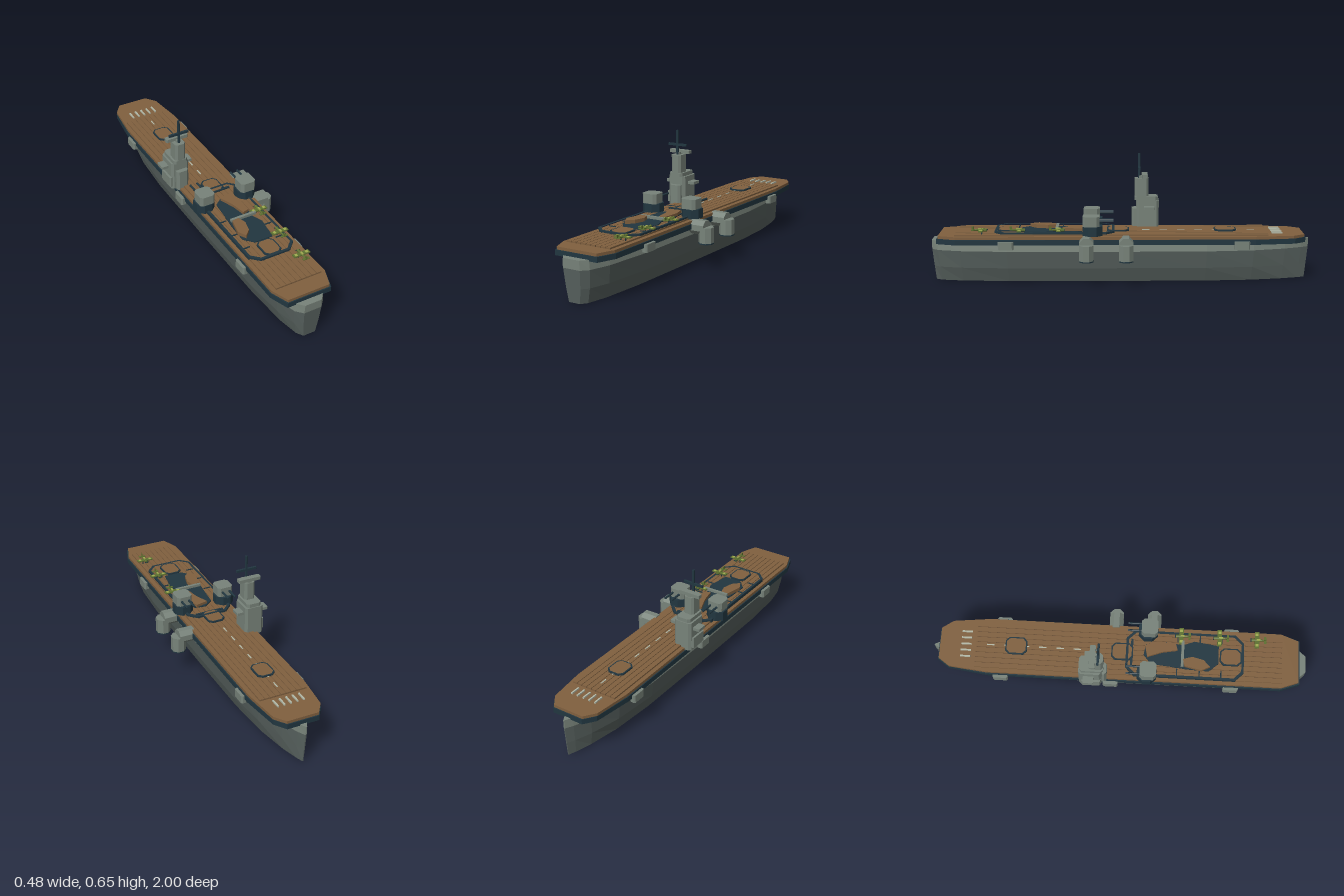
import * as THREE from 'three';

const CX = -0.02; // ship centreline
const mat = (name, color) => Object.assign(new THREE.MeshStandardMaterial({ color }), { name });

export function createModel() {
  const ship = new THREE.Group();
  ship.name = 'aircraftCarrier';
  const M = {
    gray: mat('lightGray', 0x78837a), hull: mat('hullGray', 0x58625f), navy: mat('darkNavy', 0x213640),
    wood: mat('deckWood', 0x80603f), plank: mat('plankSeam', 0x5c442e), mark: mat('paleMarking', 0xb4baa8),
    olive: mat('olive', 0x5d7030), lime: mat('paleOlive', 0xa0ac50),
  };

  // ---- helpers ----
  const add = (name, geo, m, x = 0, y = 0, z = 0, parent = ship) => {
    const g = geo.index ? geo.toNonIndexed() : geo;
    g.computeVertexNormals(); // faceted look
    const mesh = new THREE.Mesh(g, m);
    mesh.name = name;
    mesh.position.set(x, y, z);
    parent.add(mesh);
    return mesh;
  };
  // box from its limits
  const box = (name, m, x0, x1, y0, y1, z0, z1, parent) =>
    add(name, new THREE.BoxGeometry(x1 - x0, y1 - y0, z1 - z0), m,
      (x0 + x1) / 2, (y0 + y1) / 2, (z0 + z1) / 2, parent);
  const outline = (pts, C = THREE.Shape) => new C(pts.map(([x, z]) => new THREE.Vector2(x, -z)));
  // plan outline [x, z] raised from y0 to y1
  const slab = (name, m, pts, y0, y1, hole, parent) => {
    const s = outline(pts);
    if (hole) s.holes.push(outline(hole, THREE.Path));
    const g = new THREE.ExtrudeGeometry(s, { depth: y1 - y0, bevelEnabled: false });
    return add(name, g.rotateX(-Math.PI / 2), m, 0, y0, 0, parent);
  };
  // rectangle with cut corners
  const cut = (x0, x1, z0, z1, c) => [[x0 + c, z0], [x1 - c, z0], [x1, z0 + c], [x1, z1 - c],
    [x1 - c, z1], [x0 + c, z1], [x0, z1 - c], [x0, z0 + c]];
  const inset = (x0, x1, z0, z1, c, t) => cut(x0 + t, x1 - t, z0 + t, z1 - t, c - t * 0.4);

  // ---- hull: stations [z, half width], levels [y, width factor] ----
  const stations = [[1, 0.048], [0.965, 0.08], [0.85, 0.11], [0.6, 0.13], [0, 0.132], [-0.45, 0.128],
    [-0.7, 0.103], [-0.87, 0.06], [-0.96, 0.024], [-1, 0.003]];
  const loft = (name, m, levels) => {
    const rings = stations.map(([z, w]) => {
      const at = (side) => ([y, f]) => [CX + side * w * f, y, z * (1 - 0.1 * Math.max(0, 0.18 - y))];
      return [...levels.map(at(1)), ...levels.slice().reverse().map(at(-1))];
    });
    const n = rings[0].length, pos = rings.flat(2), idx = [], last = (rings.length - 1) * n;
    for (let s = 0; s < rings.length - 1; s++) for (let i = 0; i < n; i++) {
      const a = s * n + i, b = s * n + (i + 1) % n;
      idx.push(a, b, b + n, a, b + n, a + n);
    }
    for (let i = 1; i < n - 1; i++) idx.push(0, i + 1, i, last, last + i, last + i + 1);
    const g = new THREE.BufferGeometry();
    g.setAttribute('position', new THREE.Float32BufferAttribute(pos, 3));
    g.setIndex(idx);
    add(name, g, m);
  };
  loft('lowerHull', M.hull, [[0.167, 1], [0.075, 0.88], [0, 0.68]]);
  loft('upperHull', M.gray, [[0.215, 0.95], [0.167, 1]]);

  // ---- flight deck ----
  const deck = (d) => {
    const half = [[0.085, -0.97 + d], [0.128, -0.91 + d], [0.157 - d, -0.7], [0.157 - d, 0.865], [0.122 - d, 0.965 - d]];
    return [...half.map(([x, z]) => [CX + x, z]), ...half.reverse().map(([x, z]) => [CX - x, z])];
  };
  slab('deckEdge', M.navy, deck(0), 0.208, 0.235);
  slab('flightDeck', M.wood, deck(0.006), 0.235, 0.25);
  for (let i = 0; i < 9; i++) {
    const x = CX - 0.128 + i * 0.0287;
    box('deckPlank', M.wood, x, x + 0.0255, 0.25, 0.258, -0.77, 0.87);
    if (i) box('plankSeam', M.plank, x - 0.0032, x, 0.249, 0.252, -0.77, 0.87);
  }
  for (let i = -2; i <= 2; i++)
    box('bowStripe', M.mark, CX + i * 0.035 - 0.004, CX + i * 0.035 + 0.004, 0.25, 0.258, -0.85, -0.795);
  for (let i = 0; i < 7; i++)
    box('centreDash', M.mark, CX - 0.003, CX + 0.003, 0.257, 0.261, -0.71 + i * 0.093, -0.67 + i * 0.093);

  // ---- lifts ----
  for (const z of [-0.553, 0.015, 0.595]) {
    const r = [CX - 0.048, CX + 0.048, z - 0.058, z + 0.058, 0.02];
    slab('liftRim', M.navy, cut(...r), 0.25, 0.266, inset(...r, 0.007));
    slab('liftPlatform', M.wood, inset(...r, 0.007), 0.25, 0.267);
  }

  // ---- after deck well with its rim, broken deck slabs and cross beam ----
  const rim = [-0.152, 0.104, 0.035, 0.665, 0.045];
  slab('wellRim', M.navy, cut(...rim), 0.25, 0.268, inset(...rim, 0.013));
  box('rimBar', M.navy, -0.1, 0.055, 0.25, 0.265, 0.06, 0.072);
  slab('wellFloor', M.navy, [[-0.08, 0.17], [-0.03, 0.13], [0.03, 0.14], [0.045, 0.24], [0.035, 0.34], [0.058, 0.4],
    [0.04, 0.53], [-0.06, 0.53], [-0.105, 0.48], [-0.1, 0.36], [-0.09, 0.28]], 0.25, 0.263);
  slab('raisedSlab', M.wood, [[-0.045, 0.15], [0.02, 0.135], [0.04, 0.2], [0.035, 0.3], [0.0, 0.31], [-0.015, 0.23]], 0.25, 0.278);
  slab('raisedSlab', M.wood, [[-0.088, 0.35], [-0.05, 0.34], [-0.035, 0.39], [-0.05, 0.45], [-0.085, 0.485], [-0.108, 0.44]], 0.25, 0.282);
  box('crossBeam', M.gray, -0.09, 0.055, 0.268, 0.282, 0.33, 0.345);
  for (const z of [0.31, 0.43, 0.545]) {
    box('tieDown', M.navy, -0.14, -0.1, 0.255, 0.262, z - 0.003, z + 0.003);
    box('tieDown', M.navy, 0.05, 0.095, 0.255, 0.262, z - 0.003, z + 0.003);
  }

  // ---- island ----
  const island = new THREE.Group();
  island.name = 'island';
  ship.add(island);
  const block = (name, x0, x1, y0, y1, z0, z1, c = 0.012, m = M.gray) =>
    slab(name, m, cut(x0, x1, z0, z1, c), y0, y1, null, island);
  block('islandBase', -0.205, -0.103, 0.24, 0.4, -0.205, -0.085);
  block('islandUpper', -0.195, -0.115, 0.4, 0.42, -0.2, -0.075);
  block('islandSideRoom', -0.216, -0.185, 0.255, 0.313, -0.19, -0.09, 0.006);
  block('islandFront', -0.185, -0.118, 0.24, 0.355, -0.1, -0.06);
  block('bridgeWings', -0.243, -0.066, 0.355, 0.37, -0.18, -0.125, 0.003);
  block('tower', -0.184, -0.125, 0.42, 0.517, -0.15, -0.076);
  block('lookoutPlatform', -0.216, -0.093, 0.522, 0.54, -0.145, -0.115, 0.003);
  block('platformPost', -0.165, -0.143, 0.515, 0.53, -0.145, -0.1, 0.003);
  block('mast', -0.16, -0.148, 0.5, 0.651, -0.106, -0.094, 0.002, M.navy);
  block('mastYard', -0.211, -0.097, 0.566, 0.578, -0.106, -0.094, 0.002, M.navy);

  // ---- twin gun turrets ----
  for (const x of [-0.143, 0.098]) {
    const turret = new THREE.Group();
    turret.name = 'turret';
    turret.position.set(x, 0, 0.155);
    ship.add(turret);
    const ring = new THREE.CylinderGeometry(0.056, 0.056, 0.05, 8).rotateY(Math.PI / 8);
    add('turretBase', ring, M.navy, 0, 0.279, -0.005, turret);
    slab('turretHouse', M.gray, cut(-0.043, 0.043, -0.042, 0.045, 0.014), 0.303, 0.356, null, turret);
    for (const s of [-1, 1]) {
      const barrel = new THREE.CylinderGeometry(0.006, 0.006, 0.08, 8).rotateX(Math.PI / 2);
      add('gunBarrel', barrel, M.navy, s * 0.02, 0.332, -0.075, turret);
    }
  }

  // ---- down-turned funnels on the left side ----
  for (const z of [-0.025, 0.18]) {
    const arm = new THREE.CylinderGeometry(0.04, 0.04, 0.085, 8).rotateY(Math.PI / 8).rotateZ(Math.PI / 2);
    add('funnelArm', arm, M.gray, 0.163, 0.218, z);
    const pipe = new THREE.CylinderGeometry(0.04, 0.04, 0.082, 8).rotateY(Math.PI / 8);
    add('funnelPipe', pipe, M.gray, 0.202, 0.181, z);
    const mouth = new THREE.CylinderGeometry(0.041, 0.041, 0.006, 8).rotateY(Math.PI / 8);
    add('funnelMouth', mouth, M.navy, 0.202, 0.138, z);
  }

  // ---- side galleries ----
  for (const s of [-1, 1]) for (const z of [-0.63, 0.6])
    slab('sideGallery', M.gray, cut(CX + s * 0.157 - 0.016, CX + s * 0.157 + 0.016, z - 0.04, z + 0.04, 0.007), 0.185, 0.226);
  slab('sideGallery', M.gray, cut(-0.195, -0.163, -0.08, 0, 0.007), 0.185, 0.226);

  // ---- parked aircraft ----
  for (const z of [0.335, 0.54, 0.74]) {
    const plane = new THREE.Group();
    plane.name = 'aircraft';
    plane.position.set(0.08, 0.278, z);
    ship.add(plane);
    const body = new THREE.CylinderGeometry(0.003, 0.009, 0.08, 6).rotateX(Math.PI / 2);
    add('fuselage', body, M.olive, 0, 0, 0.002, plane);
    box('wings', M.olive, -0.046, 0.046, -0.003, 0.002, -0.02, 0.004, plane);
    for (const s of [-1, 1]) {
      box('wingMark', M.lime, s * 0.03 - 0.007, s * 0.03 + 0.007, 0.002, 0.004, -0.016, 0, plane);
      box('wheelStrut', M.navy, s * 0.014 - 0.002, s * 0.014 + 0.002, -0.02, -0.002, -0.014, -0.008, plane);
    }
    box('tailplane', M.olive, -0.019, 0.019, 0, 0.003, 0.03, 0.042, plane);
    box('tailFin', M.olive, -0.002, 0.002, 0, 0.018, 0.03, 0.042, plane);
    box('canopy', M.lime, -0.004, 0.004, 0.004, 0.011, -0.012, 0.008, plane);
    box('propeller', M.navy, -0.011, 0.011, -0.001, 0.002, -0.042, -0.038, plane);
  }
  return ship;
}
